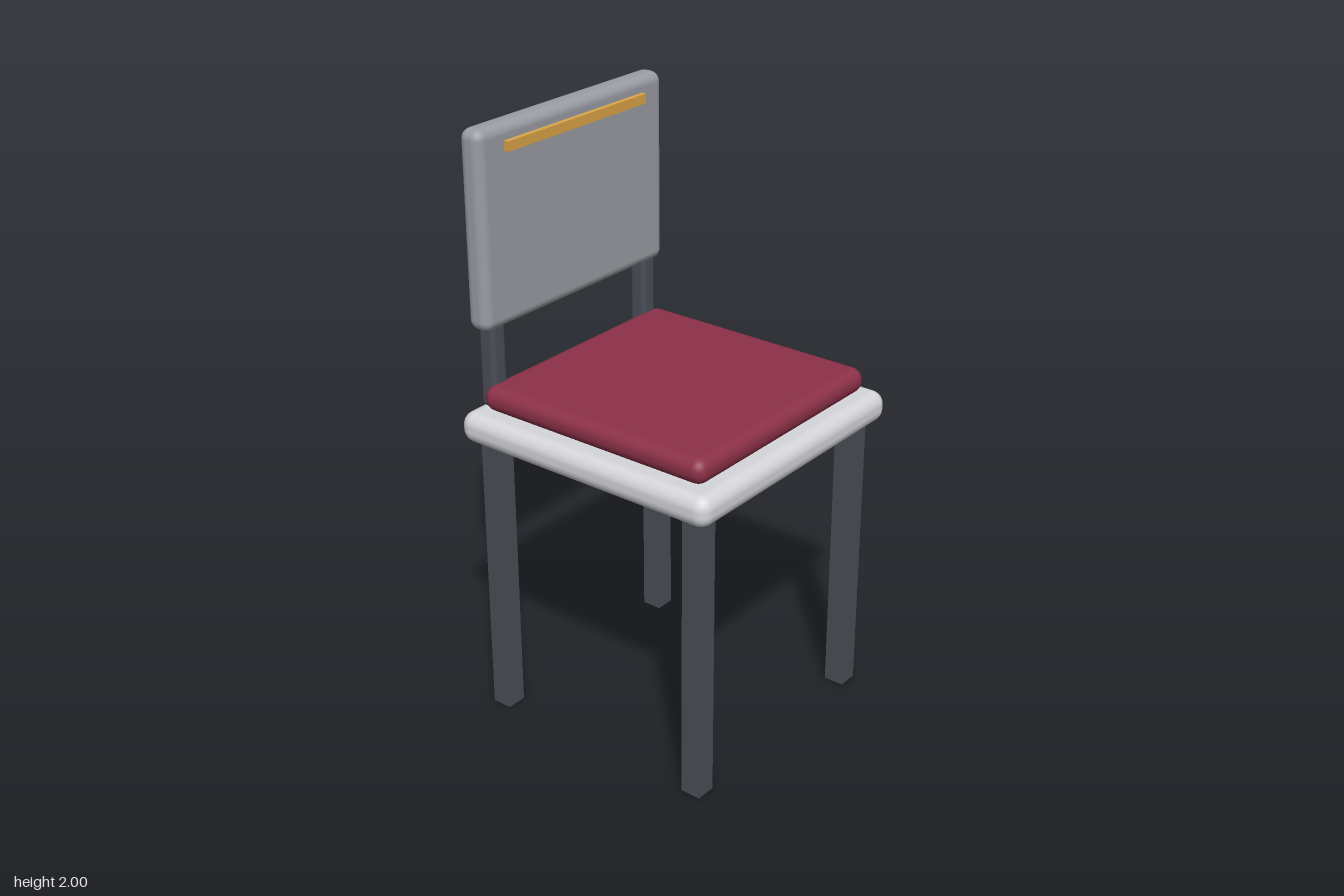
import * as THREE from 'three';
import { RoundedBoxGeometry } from 'three/addons/geometries/RoundedBoxGeometry.js';

const material = (color) => new THREE.MeshStandardMaterial({ color });

export function createModel() {
  const chair = new THREE.Group();
  chair.name = 'chair';

  const frame = material(0x4a4e56);

  // Adds a box centred at (x, z) between two heights; a radius rounds its edges
  function addBox(name, mat, width, depth, bottom, top, x, z, radius = 0) {
    const height = top - bottom;
    const geometry = radius
      ? new RoundedBoxGeometry(width, height, depth, 3, radius)
      : new THREE.BoxGeometry(width, height, depth);
    const mesh = new THREE.Mesh(geometry, mat);
    mesh.name = name;
    mesh.position.set(x, (bottom + top) / 2, z);
    chair.add(mesh);
  }

  // Seat slab and the cushion resting on it
  addBox('seat', material(0xd5d6da), 0.976, 0.976, 0.985, 1.09, 0, 0, 0.045);
  addBox('cushion', material(0x8c3148), 0.87, 0.87, 1.09, 1.175, 0, 0, 0.04);

  // Square legs and the short rounded posts that carry the backrest
  for (const [side, x] of [['left', 1], ['right', -1]]) {
    addBox(`${side}FrontLeg`, frame, 0.07, 0.07, 0, 0.987, x * 0.403, 0.403);
    addBox(`${side}BackLeg`, frame, 0.07, 0.07, 0, 0.987, x * 0.403, -0.403);
    addBox(`${side}BackPost`, frame, 0.064, 0.064, 1.088, 1.375, x * 0.37, -0.435, 0.018);
  }

  // Backrest panel with a thin trim strip near the top of its front
  addBox('backrest', material(0x9a9da5), 0.87, 0.086, 1.355, 2, 0, -0.437, 0.034);
  addBox('trimStrip', material(0xdba548), 0.65, 0.02, 1.918, 1.95, 0, -0.387);

  return chair;
}
